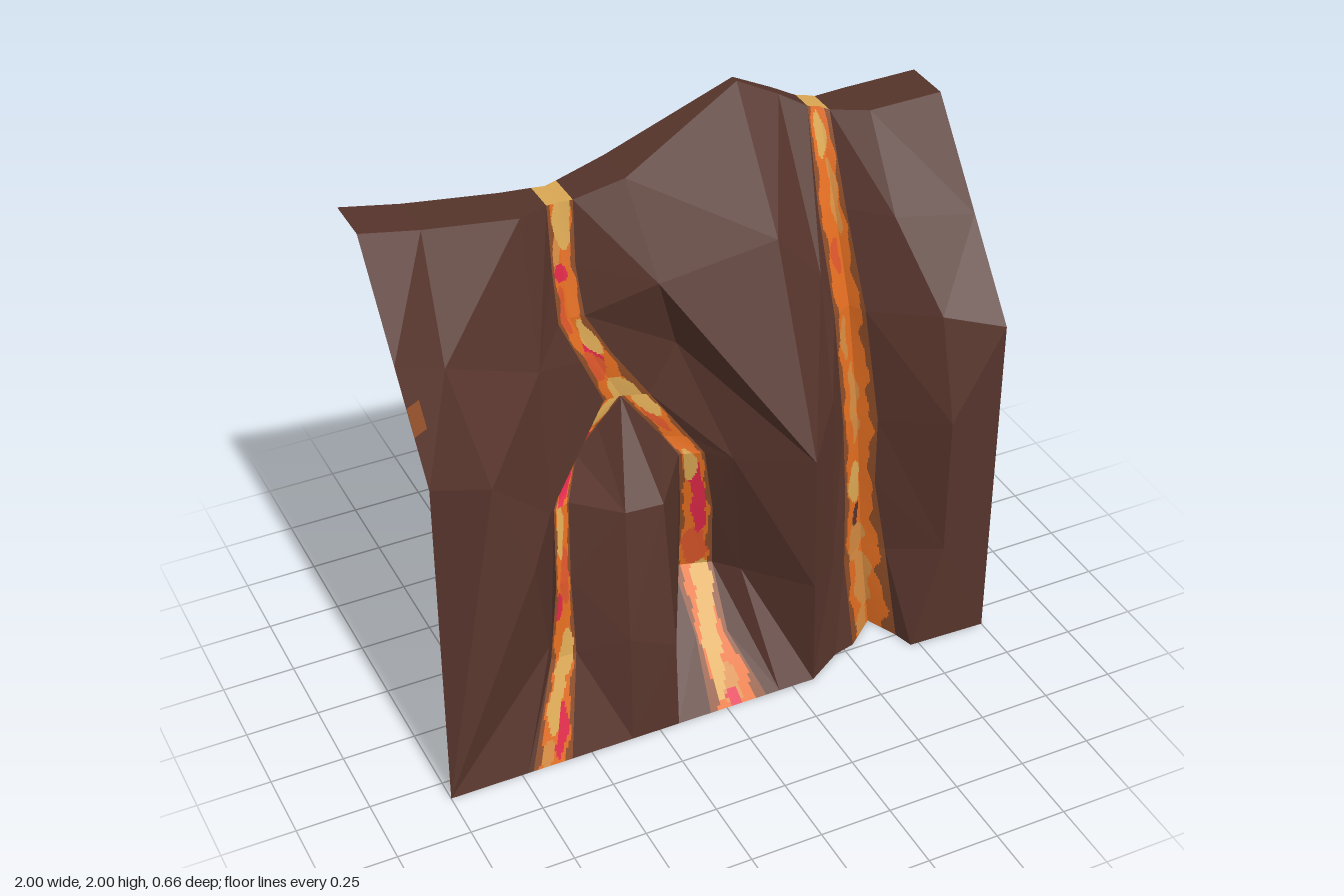
import * as THREE from 'three';

const mat = (name, color) => new THREE.MeshStandardMaterial({ name, color, side: THREE.DoubleSide, flatShading: true });

const LEVELS = [0, 0.17, 0.33, 0.6, 0.85, 0.91, 0.98, 1.07, 1.25, 1.4, 1.57]; // heights where the lava bends
const BACK = -0.33;
const FORK = 1.07;

// Vertical profiles as [y, x, z], from left edge to right edge
const leftEdge = [[0, -1, .33], [1.25, -1, .33], [1.55, -1, .093], [1.87, -1, -.16]];
const leftShoulder = [[0, -.73, .33], [.4, -.59, .215], [.78, -.65, .27], [1.1, -.76, .22], [1.47, -.83, .06], [1.83, -.8, -.16]];
const leftSlope = [[0, -.71, .33], [.33, -.58, .2], [.86, -.53, .12], [1.32, -.5, 0], [1.785, -.48, -.16]];
const trunk = [[1.07, -.18, -.1], [1.25, -.27, -.11], [1.4, -.34, -.13], [1.57, -.34, -.17], [1.77, -.325, -.22]];
const forkOuter = [[0, -.71, .33], [.33, -.58, .2], [.6, -.54, .17], [.85, -.51, .1], [.91, -.435, .01], [.98, -.345, -.08], [1.07, -.24, -.1],
  [1.25, -.32, -.09], [1.4, -.385, -.11], [1.57, -.38, -.16], [1.775, -.37, -.21]];
const forkInner = [[0, -.57, .33], [.33, -.49, .2], [.6, -.48, .15], [.85, -.45, .08], [.91, -.355, -.07], [.98, -.265, -.1], ...trunk];
const pillarLeft = [[0, -.35, .33], [.4, -.34, .3], [.85, -.31, .21], ...trunk];
const pillarRight = [[0, -.18, .33], [.33, -.18, .31], [.85, -.18, .22], ...trunk];
const midInner = [[0, -.06, .33], [.17, -.02, .13], [.33, -.01, -.07], [.6, 0, -.03], [.85, -.02, 0], [.91, -.06, -.04], ...trunk];
const midOuter = [[0, .15, .33], [.17, .09, .15], [.33, .12, -.03], [.6, .1, .01], [.85, .06, .03], [.91, .02, 0], [1.07, -.09, -.07],
  [1.25, -.21, -.1], [1.4, -.29, -.12], [1.57, -.3, -.16], [1.78, -.285, -.2]];
const gully = [[0, .2, .33], [.35, .18, .07], [.85, .13, .1], [1.25, 0, -.06], [1.52, -.08, -.015], [1.83, -.12, -.17]];
const ridge = [[0, .33, .33], [.4, .33, .32], [.9, .33, .3], [1.58, .33, 0], [2, .33, -.3]];
const ridgeSide = [[0, .46, .25], [.4, .46, .21], [1, .47, .145], [1.4, .49, 0], [1.93, .47, -.28]];
const rightOuter = [[0, .54, .23], [.33, .52, .18], [.6, .535, .14], [.85, .54, .1], [1.25, .53, .03], [1.57, .53, -.1], [1.88, .56, -.25]];
const rightValley = [[0, .65, .14], [.33, .63, .1], [.85, .615, .06], [1.25, .605, -.01], [1.57, .6, -.12], [1.87, .6, -.25]];
const rightInner = [[0, .7, .25], [.33, .685, .17], [.6, .655, .13], [.85, .66, .12], [1.25, .635, .05], [1.57, .625, -.09], [1.86, .63, -.23]];
const buttress = [[0, .72, .32], [.4, .82, .33], [.92, .82, .33], [1.28, .82, .23], [1.57, .74, .03], [1.865, .74, -.16]];
const rightEdge = leftEdge.map(([y, x, z]) => [y, -x, z]);

const corner = ([y, x, z]) => new THREE.Vector3(x, y, z);
const ledgeEnd = (rim) => new THREE.Vector3(rim.x, rim.y, BACK);

// Point on a profile at height y
function sample(profile, y) {
  const last = profile[profile.length - 1];
  if (y >= last[0]) return corner(last);
  const i = profile.findIndex((k) => k[0] > y);
  const [a, b] = [profile[i - 1], profile[i]];
  return corner(a).lerp(corner(b), (y - a[0]) / (b[0] - a[0]));
}

// Collects faces by colour and turns them into one mesh per colour
class Faces {
  constructor() { this.byColour = new Map(); }
  tri(colour, ...points) {
    if (new THREE.Triangle(...points).getArea() < 1e-8) return;
    if (!this.byColour.has(colour)) this.byColour.set(colour, []);
    points.forEach((p) => this.byColour.get(colour).push(p.x, p.y, p.z));
  }
  quad(colour, a, b, c, d) {
    this.tri(colour, a, b, c);
    this.tri(colour, a, c, d);
  }
  // Joins two profiles with large facets, then adds the ledge behind the rim
  panel(colour, left, right) {
    const [l, r] = [left.map(corner), right.map(corner)];
    let [i, j] = [0, 0];
    while (i < l.length - 1 || j < r.length - 1) {
      const climbLeft = j === r.length - 1 || (i < l.length - 1 && l[i + 1].y < r[j + 1].y);
      if (climbLeft) this.tri(colour, l[i], r[j], l[++i]);
      else this.tri(colour, l[i], r[j], r[++j]);
    }
    this.quad(colour, l[i], r[j], ledgeEnd(r[j]), ledgeEnd(l[i]));
  }
  build(name) {
    const group = new THREE.Group();
    group.name = name;
    for (const [material, positions] of this.byColour) {
      const geo = new THREE.BufferGeometry();
      geo.setAttribute('position', new THREE.Float32BufferAttribute(positions, 3));
      geo.computeVertexNormals();
      const mesh = new THREE.Mesh(geo, material);
      mesh.name = `${name} ${material.name}`;
      group.add(mesh);
    }
    return group;
  }
}

export function createModel() {
  const rock = mat('brown rock', 0x56342b);
  const glow = mat('dim glow', 0x8a4b27);
  const ember = mat('red orange lava', 0xd9552a);
  const orange = mat('orange lava', 0xe06c20);
  const amber = mat('amber lava', 0xd48a40);
  const yellow = mat('yellow lava', 0xdba854);
  const crimson = mat('crimson lava', 0xdc2747);

  const model = new THREE.Group();
  model.name = 'lavaCliff';

  // Rock panels between neighbouring profiles
  const wall = new Faces();
  const rockRuns = [
    [leftEdge, leftShoulder, leftSlope, forkOuter],
    [forkInner, pillarLeft, pillarRight, midInner],
    [midOuter, gully, ridge, ridgeSide, rightOuter],
    [rightInner, buttress, rightEdge],
  ];
  for (const run of rockRuns) {
    for (let c = 0; c + 1 < run.length; c++) wall.panel(rock, run[c], run[c + 1]);
  }
  model.add(wall.build('rockWall'));

  // Colour blotches as [y, across, half height, half width, colour]
  const trunkSpots = [
    [1.72, .55, .1, .35, yellow], [1.55, .4, .03, .28, crimson], [1.62, .2, .07, .2, amber], [1.43, .22, .08, .2, ember],
    [1.32, .72, .07, .25, yellow], [1.21, .35, .06, .25, ember], [1.25, .5, .05, .17, crimson], [1.07, .65, .08, .4, yellow],
  ];
  const leftSpots = [...trunkSpots,
    [.92, .6, .06, .28, crimson], [.87, .5, .02, .3, crimson], [1.0, .4, .03, .3, ember], [.77, .35, .09, .25, yellow],
    [.52, .25, .05, .15, crimson], [.62, .6, .1, .28, ember], [.35, .65, .08, .3, yellow], [.21, .4, .12, .22, yellow],
    [.1, .68, .09, .14, crimson], [.04, .35, .04, .2, amber],
  ];
  const midSpots = [...trunkSpots,
    [.98, .4, .05, .2, ember], [.8, .4, .07, .25, yellow], [.65, .6, .17, .24, crimson], [.42, .5, .09, .33, ember],
    [.29, .7, .06, .3, yellow], [.2, .5, .08, .25, yellow], [.1, .3, .08, .16, yellow], [.02, .5, .025, .12, crimson],
    [.05, .5, .05, .2, amber],
  ];
  const rightSpots = [
    [1.79, .45, .07, .25, yellow], [1.6, .65, .12, .14, amber], [1.42, .4, .06, .15, ember], [1.15, .3, .08, .12, amber],
    [.9, .5, .15, .15, amber], [.6, .4, .08, .22, yellow], [.47, .45, .045, .09, rock], [.37, .4, .07, .25, amber],
    [.2, .5, .12, .22, amber], [.04, .4, .05, .2, amber],
  ];

  function lavaColour(spots, v, y) {
    const edge = 0.13 + 0.05 * Math.sin(y * 27 + (v > 0.5 ? 2 : 0)) + 0.03 * Math.sin(y * 61);
    if (v < edge || v > 1 - edge) return glow;
    const sway = 0.05 * Math.sin(y * 45);
    for (const [sy, sv, hy, hv, colour] of spots) {
      if (((y - sy) / hy) ** 2 + ((v - sv + sway) / hv) ** 2 < 1) return colour;
    }
    return orange;
  }

  // Lava ribbons, finely divided so the molten colours can mix
  const ribbons = [
    ['leftLava', forkOuter, forkInner, leftSpots, (y) => (y > FORK ? [0, .5] : [0, 1])],
    ['middleLava', midInner, midOuter, midSpots, (y) => (y > FORK ? [.5, 1] : [0, 1])],
    ['rightLava', rightOuter, rightValley, rightSpots, () => [0, .62]],
    ['rightLavaBank', rightValley, rightInner, rightSpots, () => [.62, 1]],
  ];
  const ACROSS = 16;
  for (const [name, left, right, spots, span] of ribbons) {
    const faces = new Faces();
    const [l, r] = [left, right].map((p) => [...LEVELS, Infinity].map((y) => sample(p, y)));
    for (let i = 0; i + 1 < l.length; i++) {
      const steps = Math.ceil((l[i + 1].y - l[i].y) / 0.01);
      const point = (u, t) => l[i].clone().lerp(l[i + 1], t).lerp(r[i].clone().lerp(r[i + 1], t), u);
      for (let s = 0; s < steps; s++) {
        for (let c = 0; c < ACROSS; c++) {
          const [u0, u1, t0, t1] = [c / ACROSS, (c + 1) / ACROSS, s / steps, (s + 1) / steps];
          const mid = point((u0 + u1) / 2, (t0 + t1) / 2);
          const [v0, v1] = span(mid.y);
          const colour = lavaColour(spots, v0 + (v1 - v0) * (u0 + u1) / 2, mid.y);
          faces.quad(colour, point(u0, t0), point(u1, t0), point(u1, t1), point(u0, t1));
        }
      }
    }
    const [a, b] = [l[l.length - 1], r[r.length - 1]];
    faces.quad(yellow, a, b, ledgeEnd(b), ledgeEnd(a));
    model.add(faces.build(name));
  }

  // Small glowing patch lying on the facet at the left edge
  const patch = new Faces();
  const at = (dx, y) => sample(leftEdge, y).add(new THREE.Vector3(dx, 0, 0.005 - 0.56 * dx));
  patch.quad(glow, at(0, 1.38), at(.05, 1.38), at(.05, 1.45), at(0, 1.45));
  model.add(patch.build('edgeGlow'));

  return model;
}
